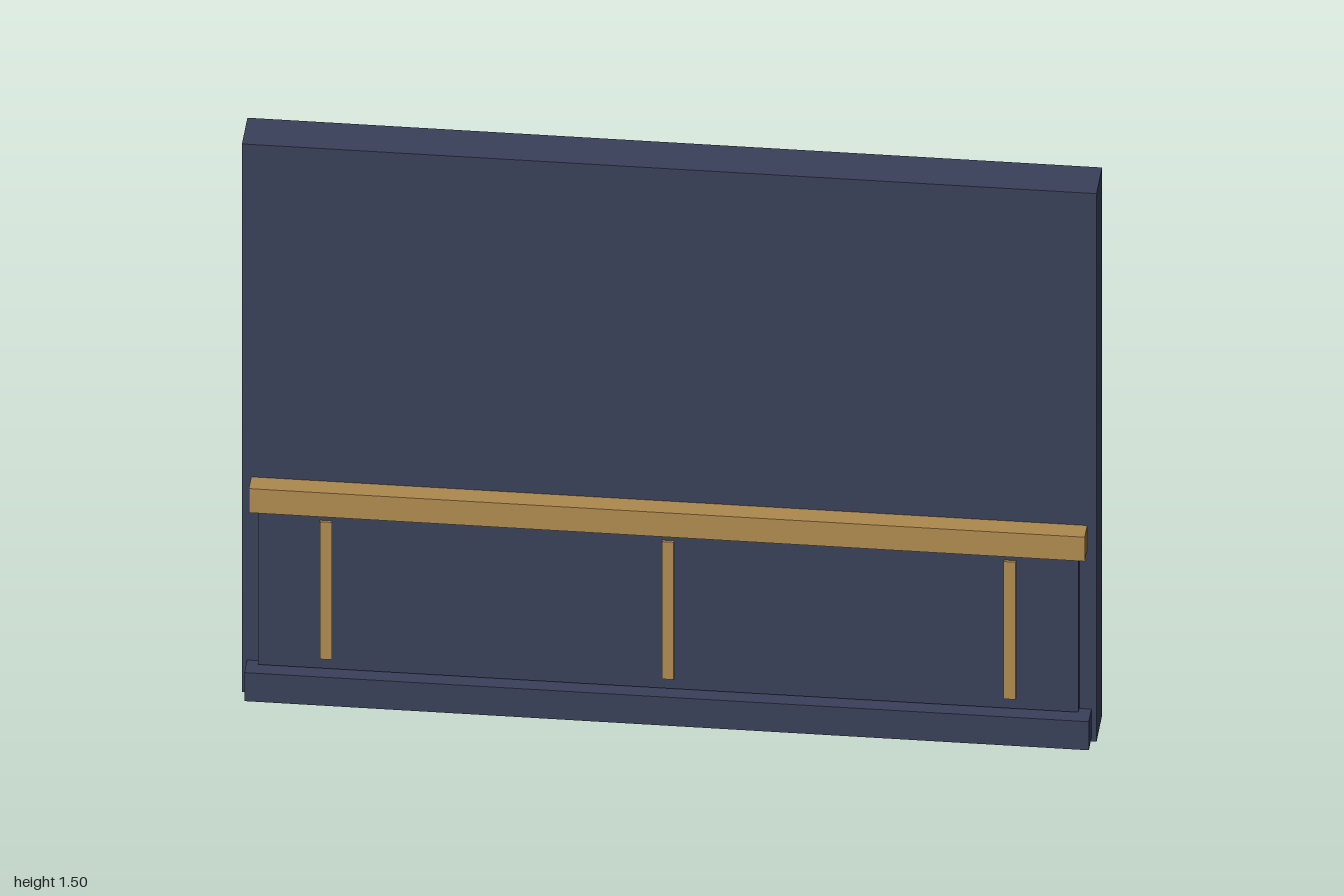
import * as THREE from 'three';

export function createModel() {
  const model = new THREE.Group();
  model.name = 'panelledWall';

  const navy = new THREE.MeshStandardMaterial({ color: 0x384058 });
  navy.name = 'navy paint';
  const gold = new THREE.MeshStandardMaterial({ color: 0xad884e });
  gold.name = 'golden wood';

  // Box given by its centre x, width, vertical range and depth range
  function box(parent, name, material, x, width, y0, y1, z0, z1) {
    const mesh = new THREE.Mesh(new THREE.BoxGeometry(width, y1 - y0, z1 - z0), material);
    mesh.position.set(x, (y0 + y1) / 2, (z0 + z1) / 2);
    mesh.name = name;
    parent.add(mesh);
  }

  const face = 0.058;
  box(model, 'wall', navy, 0, 2, 0, 1.5, -face, face);

  // The same trim on both faces of the wall
  for (const [name, turn] of [['frontTrim', 0], ['backTrim', Math.PI]]) {
    const trim = new THREE.Group();
    trim.name = name;
    trim.rotation.y = turn;
    box(trim, 'baseboard', navy, 0, 1.976, 0.01, 0.088, face, 0.114);
    box(trim, 'lowerPanel', navy, 0, 1.92, 0.093, 0.525, face, 0.083);
    box(trim, 'chairRail', gold, 0, 1.956, 0.524, 0.59, face, 0.11);
    for (const x of [-0.8, 0, 0.8]) {
      box(trim, 'panelStrip', gold, x, 0.028, 0.122, 0.498, 0.083, 0.09);
    }
    model.add(trim);
  }
  return model;
}
